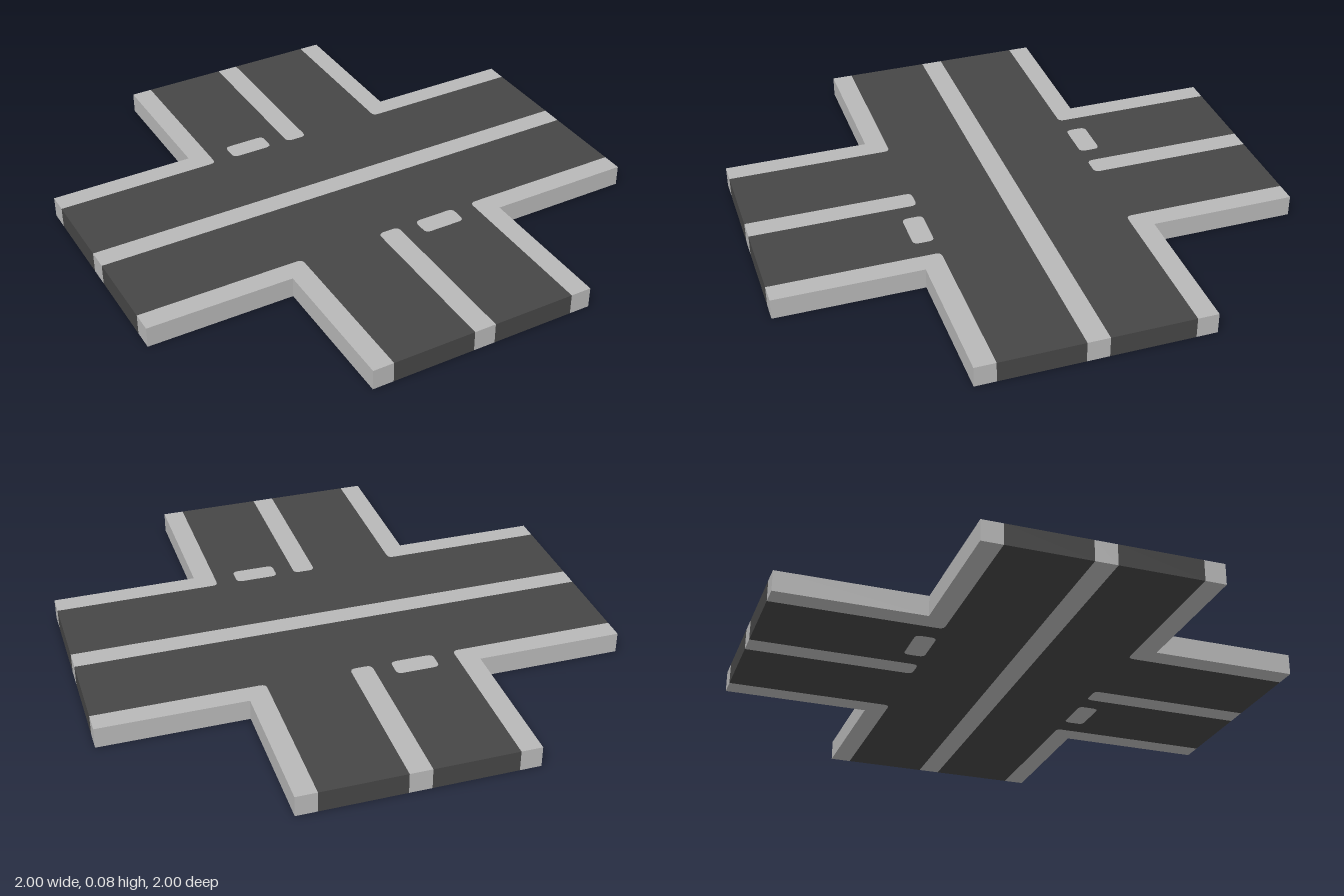
import * as THREE from 'three';

const H = 0.08;      // slab thickness
const MID = 0.042;   // half width of the central strips
const ROAD = 0.36;   // half width of the carriageway
const EDGE = 0.44;   // outer side of the kerb
const R = 0.022;     // corner rounding

// Trace a closed outline in plan (x, z); a third value rounds that corner.
function outline(points, path = new THREE.Shape()) {
  const n = points.length;
  points.forEach(([x, z, r = 0], i) => {
    const p = new THREE.Vector2(x, z);
    const towards = ([qx, qz]) =>
      p.clone().add(new THREE.Vector2(qx - x, qz - z).setLength(r));
    const a = r ? towards(points[(i + n - 1) % n]) : p;
    if (i === 0) path.moveTo(a.x, a.y);
    else path.lineTo(a.x, a.y);
    if (r) {
      const b = towards(points[(i + 1) % n]);
      path.quadraticCurveTo(x, z, b.x, b.y);
    }
  });
  path.closePath();
  return path;
}

// Extrude a plan outline up from the ground.
function slab(name, shape, material) {
  const geometry = new THREE.ExtrudeGeometry(shape, { depth: H, bevelEnabled: false, curveSegments: 4 });
  geometry.rotateX(Math.PI / 2).translate(0, H, 0);
  const mesh = new THREE.Mesh(geometry, material);
  mesh.name = name;
  return mesh;
}

export function createModel() {
  const asphalt = new THREE.MeshStandardMaterial({ color: 0x464646 });
  asphalt.name = 'asphalt';
  const concrete = new THREE.MeshStandardMaterial({ color: 0xb8b8b8 });
  concrete.name = 'concrete';

  const island = [[0.115, ROAD, R], [0.28, ROAD, R], [0.28, EDGE, R], [0.115, EDGE, R]];

  const model = new THREE.Group();
  model.name = 'roadCrossing';

  // The two halves are the same, turned half a circle
  for (const [name, turn] of [['frontHalf', 0], ['backHalf', Math.PI]]) {
    const half = new THREE.Group();
    half.name = name;
    half.rotation.y = turn;

    // Carriageway with a slot for the median and a hole for the island
    const road = outline([
      [-1, MID], [1, MID], [1, ROAD], [ROAD, ROAD, R], [ROAD, 1],
      [MID, 1], [MID, ROAD, R], [-MID, ROAD, R], [-MID, 1],
      [-ROAD, 1], [-ROAD, ROAD, R], [-1, ROAD],
    ]);
    road.holes.push(outline(island, new THREE.Path()));
    half.add(slab('carriageway', road, asphalt));

    // Side road median and traffic island
    half.add(slab('sideMedian', outline([
      [-MID, ROAD, R], [MID, ROAD, R], [MID, 1], [-MID, 1],
    ]), concrete));
    half.add(slab('trafficIsland', outline(island), concrete));

    // L-shaped kerbs on both corners
    for (const s of [-1, 1]) {
      half.add(slab(s > 0 ? 'leftKerb' : 'rightKerb', outline([
        [s, ROAD], [s, EDGE], [s * EDGE, EDGE], [s * EDGE, 1],
        [s * ROAD, 1], [s * ROAD, ROAD, R],
      ]), concrete));
    }
    model.add(half);
  }

  // Unbroken median along the main road
  model.add(slab('mainMedian', outline([
    [-1, -MID], [1, -MID], [1, MID], [-1, MID],
  ]), concrete));

  return model;
}
